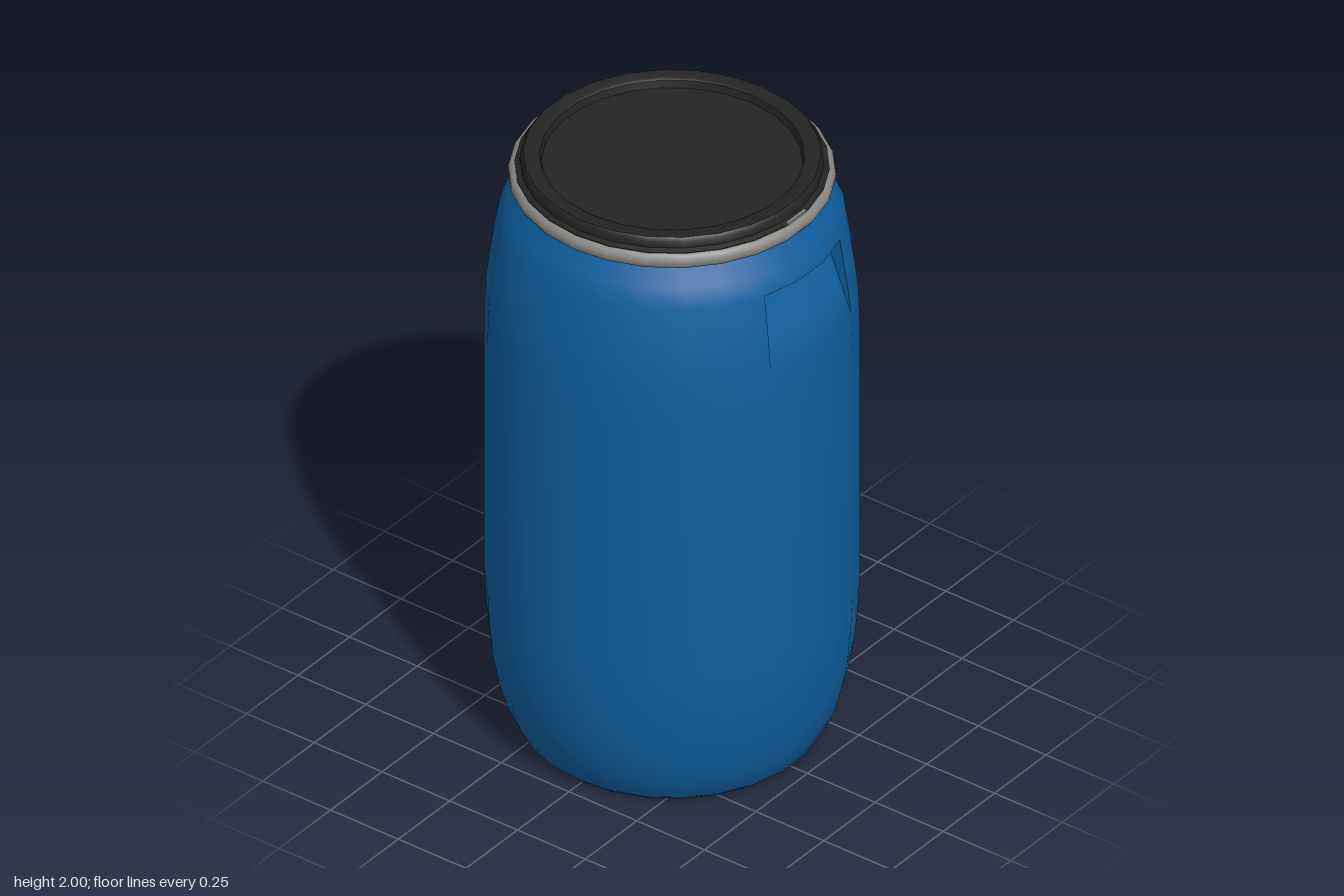
import * as THREE from 'three';
import { toCreasedNormals } from 'three/addons/utils/BufferGeometryUtils.js';

const SIDES = 26;
const STEP = (Math.PI * 2) / SIDES;

const blue = new THREE.MeshStandardMaterial({ color: 0x0f5f9f });
blue.name = 'blue plastic';
const black = new THREE.MeshStandardMaterial({ color: 0x232323 });
black.name = 'black plastic';
const steel = new THREE.MeshStandardMaterial({ color: 0x8a8783 });
steel.name = 'clamp steel';

// Body profile, bottom to top: [radius, height]
const BODY = [
  [0, 0.05], [0.29, 0.05], [0.33, 0.035], [0.38, 0.004], [0.41, 0], [0.435, 0], [0.455, 0.018],
  [0.495, 0.1], [0.519, 0.19], [0.537, 0.29], [0.547, 0.4], [0.553, 0.52], [0.553, 0.96], [0.553, 1.4],
  [0.548, 1.54], [0.538, 1.63], [0.514, 1.79], [0.486, 1.85], [0.45, 1.91], [0.44, 1.94],
];
const GRIP_BOTTOM = 14, GRIP_TOP = 16; // profile rows spanned by each hand grip

function lathe(profile) {
  const points = profile.map(([r, y]) => new THREE.Vector2(r, y));
  return new THREE.LatheGeometry(points, SIDES, Math.PI / 2);
}

// Body of revolution with two openings, three sides wide, for the grips
function bodyGeometry() {
  const geometry = lathe(BODY);
  const rows = BODY.length;
  const source = geometry.index.array;
  const kept = [];
  for (let t = 0; t < source.length; t += 3) {
    const tri = [source[t], source[t + 1], source[t + 2]];
    const low = Math.min(...tri);
    const side = Math.floor(low / rows);
    const row = Math.min(...tri.map((v) => v % rows));
    const open = side % 13 >= 5 && side % 13 <= 7 && row >= GRIP_BOTTOM && row < GRIP_TOP;
    if (!open) kept.push(...tri);
  }
  geometry.setIndex(kept);
  return geometry;
}

// Surface through rows of points; rows run left to right, first row lowest
function sheet(rows) {
  const n = rows[0].length;
  const index = [];
  for (let r = 0; r < rows.length - 1; r++) {
    for (let c = 0; c < n - 1; c++) {
      const a = r * n + c, b = a + 1, d = a + n, e = d + 1;
      index.push(a, b, e, a, e, d);
    }
  }
  const geometry = new THREE.BufferGeometry();
  geometry.setAttribute('position', new THREE.Float32BufferAttribute(rows.flat(2), 3));
  geometry.setIndex(index);
  geometry.computeVertexNormals();
  return geometry;
}

// Pocket facing +z: sloping floor, overhanging ceiling and two cheeks
function handGrip() {
  const grip = new THREE.Group();
  const columns = [-1.5, -0.5, 0.5, 1.5];
  const rim = (row) => columns.map((c) => {
    const [r, y] = BODY[row];
    return [r * Math.sin(c * STEP), y, r * Math.cos(c * STEP)];
  });
  const bottom = rim(GRIP_BOTTOM), middle = rim(GRIP_BOTTOM + 1), top = rim(GRIP_TOP);
  const back = top.map(([x]) => [x, 1.772, 0.43]);
  const between = bottom.map((p, i) => p.map((v, k) => v + (back[i][k] - v) * 0.4));

  const add = (name, rows) => {
    const mesh = new THREE.Mesh(sheet(rows), blue);
    mesh.name = name;
    grip.add(mesh);
    return mesh;
  };
  // The lower edge of the floor blends into the body
  const floor = add('gripFloor', [bottom, between, back]);
  columns.forEach((c, i) => {
    floor.geometry.attributes.normal.setXYZ(i, Math.sin(c * STEP), 0.07, Math.cos(c * STEP));
  });
  floor.geometry.normalizeNormals();
  add('gripCeiling', [back, top]);
  add('gripCheekRight', [[bottom[0], bottom[0]], [middle[0], between[0]], [top[0], back[0]]]);
  add('gripCheekLeft', [[bottom[3], bottom[3]], [between[3], middle[3]], [back[3], top[3]]]);
  return grip;
}

export function createModel() {
  const model = new THREE.Group();
  model.name = 'barrel';

  const body = new THREE.Mesh(bodyGeometry(), blue);
  body.name = 'body';
  model.add(body);

  // Hand grips on front and back
  ['frontGrip', 'backGrip'].forEach((name, i) => {
    const grip = handGrip();
    grip.name = name;
    grip.rotation.y = i * Math.PI;
    model.add(grip);
  });

  // Lid with a raised rim, a sunken panel and a flange resting on the clamp
  const lid = new THREE.Mesh(toCreasedNormals(lathe([
    [0.43, 1.905], [0.462, 1.91], [0.464, 1.962], [0.447, 1.968], [0.446, 1.99], [0.438, 2],
    [0.398, 2], [0.39, 1.995], [0.384, 1.972], [0, 1.972],
  ]), 0.7), black);
  lid.name = 'lid';
  model.add(lid);

  // Rounded clamp band around the lid
  const band = [];
  for (let i = 0; i <= 10; i++) {
    const a = -Math.PI / 2 + (i / 10) * Math.PI * 2;
    band.push([0.461 + 0.022 * Math.cos(a), 1.936 + 0.025 * Math.sin(a)]);
  }
  const clamp = new THREE.Mesh(lathe(band), steel);
  clamp.name = 'clampRing';
  model.add(clamp);

  // Small clamp tabs above the band, front and back
  for (const s of [1, -1]) {
    const tab = new THREE.Mesh(new THREE.BoxGeometry(0.09, 0.008, 0.008), steel);
    tab.name = s > 0 ? 'frontTab' : 'backTab';
    tab.position.set(0, 1.962, s * 0.458);
    model.add(tab);
  }
  return model;
}
